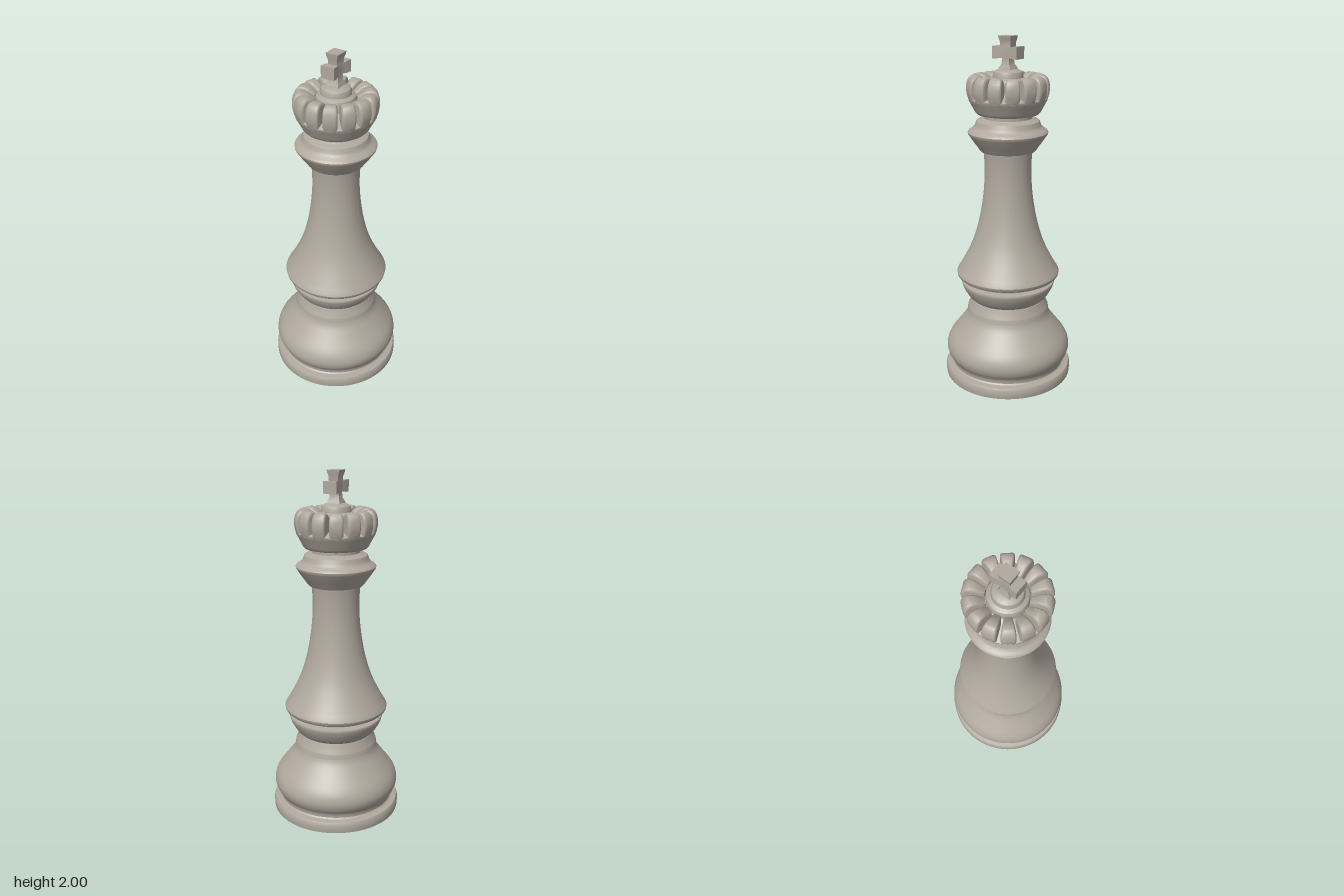
import * as THREE from 'three';
import { toCreasedNormals } from 'three/addons/utils/BufferGeometryUtils.js';

const wood = new THREE.MeshStandardMaterial({ color: 0xb0a89e });
wood.name = 'warm grey';

const v2 = (pts) => pts.map(([x, y]) => new THREE.Vector2(x, y));
// Smooth run of profile points through a few control points
const curve = (n, ...pts) => new THREE.SplineCurve(v2(pts)).getPoints(n).map((p) => [p.x, p.y]);

function add(group, name, geometry) {
  const mesh = new THREE.Mesh(geometry, wood);
  mesh.name = name;
  group.add(mesh);
  return mesh;
}

function turned(group, name, profile) {
  const lathe = new THREE.LatheGeometry(v2(profile), 96);
  return add(group, name, toCreasedNormals(lathe, 0.6));
}

// One rounded crown lobe, wedge-shaped so it narrows toward the axis
function lobeGeometry() {
  const outline = [
    [0.11, 1.64], [0.198, 1.635],
    ...curve(14, [0.215, 1.655], [0.229, 1.71], [0.222, 1.765], [0.196, 1.792], [0.155, 1.787], [0.113, 1.757]),
  ];
  const width = 0.08, bevel = 0.016;
  const g = new THREE.ExtrudeGeometry(new THREE.Shape(v2(outline)), {
    depth: width - 2 * bevel, bevelEnabled: true, bevelThickness: bevel,
    bevelSize: bevel, bevelOffset: -bevel, bevelSegments: 4,
  });
  g.translate(0, 0, bevel - width / 2);
  const p = g.attributes.position;
  for (let i = 0; i < p.count; i++) p.setZ(i, p.getZ(i) * p.getX(i) / 0.225);
  return toCreasedNormals(g, 0.7);
}

// Square post whose half widths follow rows of [y, halfX, halfZ]
function postGeometry(rows) {
  const g = new THREE.BoxGeometry(2, 1, 2, 1, rows.length - 1, 1);
  const p = g.attributes.position;
  for (let i = 0; i < p.count; i++) {
    const [y, hx, hz] = rows[Math.round((p.getY(i) + 0.5) * (rows.length - 1))];
    p.setXYZ(i, p.getX(i) * hx, y, p.getZ(i) * hz);
  }
  return toCreasedNormals(g, 0.6);
}

export function createModel() {
  const king = new THREE.Group();
  king.name = 'chessKing';

  turned(king, 'base', [
    [0, 0], [0.375, 0], [0.377, 0.01], [0.377, 0.05], [0.37, 0.063], [0.34, 0.068],
    ...curve(28, [0.333, 0.075], [0.338, 0.1], [0.36, 0.135], [0.369, 0.18], [0.352, 0.235],
      [0.3, 0.305], [0.256, 0.365], [0.241, 0.4]),
    ...curve(8, [0.24, 0.425], [0.228, 0.455], [0.218, 0.485]),
    [0, 0.485],
  ]);

  turned(king, 'lowerCollar', [
    [0, 0.48],
    ...curve(10, [0.214, 0.485], [0.235, 0.505], [0.262, 0.55], [0.274, 0.583]),
    [0.272, 0.592], [0.236, 0.598], [0.236, 0.625], [0, 0.625],
  ]);

  turned(king, 'body', [
    [0, 0.622], [0.27, 0.622], [0.288, 0.626], [0.297, 0.636], [0.3, 0.65], [0.294, 0.664],
    ...curve(30, [0.28, 0.685], [0.237, 0.765], [0.2, 0.85], [0.168, 0.96], [0.146, 1.08],
      [0.134, 1.2], [0.133, 1.3], [0.139, 1.38]),
    [0, 1.38],
  ]);

  turned(king, 'upperCollar', [
    [0, 1.374], [0.155, 1.374], [0.162, 1.382],
    ...curve(8, [0.168, 1.392], [0.196, 1.43], [0.223, 1.47]),
    [0.225, 1.48], [0.22, 1.488],
    ...curve(8, [0.212, 1.493], [0.19, 1.51], [0.18, 1.532]),
    [0.176, 1.543], [0.165, 1.549], [0.142, 1.552],
    [0.134, 1.558], [0.134, 1.58], [0, 1.58],
  ]);

  turned(king, 'crownBowl', [
    [0, 1.577], [0.15, 1.577], [0.172, 1.582], [0.182, 1.592],
    ...curve(8, [0.186, 1.6], [0.202, 1.63], [0.218, 1.66]),
    [0.218, 1.668], [0.208, 1.675], [0.14, 1.69], [0.108, 1.71], [0.1, 1.74], [0, 1.74],
  ]);

  // Fourteen lobes around the crown
  const lobe = lobeGeometry();
  for (let i = 0; i < 14; i++) {
    add(king, 'crownLobe', lobe).rotation.y = -Math.PI / 2 + (i * Math.PI * 2) / 14;
  }

  turned(king, 'crownCap', [
    [0, 1.7], [0.108, 1.7], [0.108, 1.758], [0.104, 1.768], [0.094, 1.774], [0.084, 1.779],
    [0.082, 1.8], [0.078, 1.81], [0.066, 1.818], [0.045, 1.824], [0, 1.827],
  ]);

  add(king, 'crossPost', postGeometry([
    [1.815, 0.04, 0.042], [1.832, 0.037, 0.036], [1.85, 0.029, 0.025], [1.88, 0.026, 0.022],
    [1.912, 0.03, 0.028], [1.945, 0.028, 0.032], [1.965, 0.027, 0.034], [1.985, 0.034, 0.038], [2, 0.037, 0.04],
  ]));

  // Cross arms are pinched toward the middle
  const arms = postGeometry([
    [-0.078, 0.04, 0.033], [-0.05, 0.037, 0.032], [-0.025, 0.03, 0.029], [0, 0.028, 0.028],
    [0.025, 0.03, 0.029], [0.05, 0.037, 0.032], [0.078, 0.04, 0.033],
  ]);
  arms.rotateX(Math.PI / 2).translate(0, 1.912, 0);
  add(king, 'crossArms', arms);

  return king;
}
